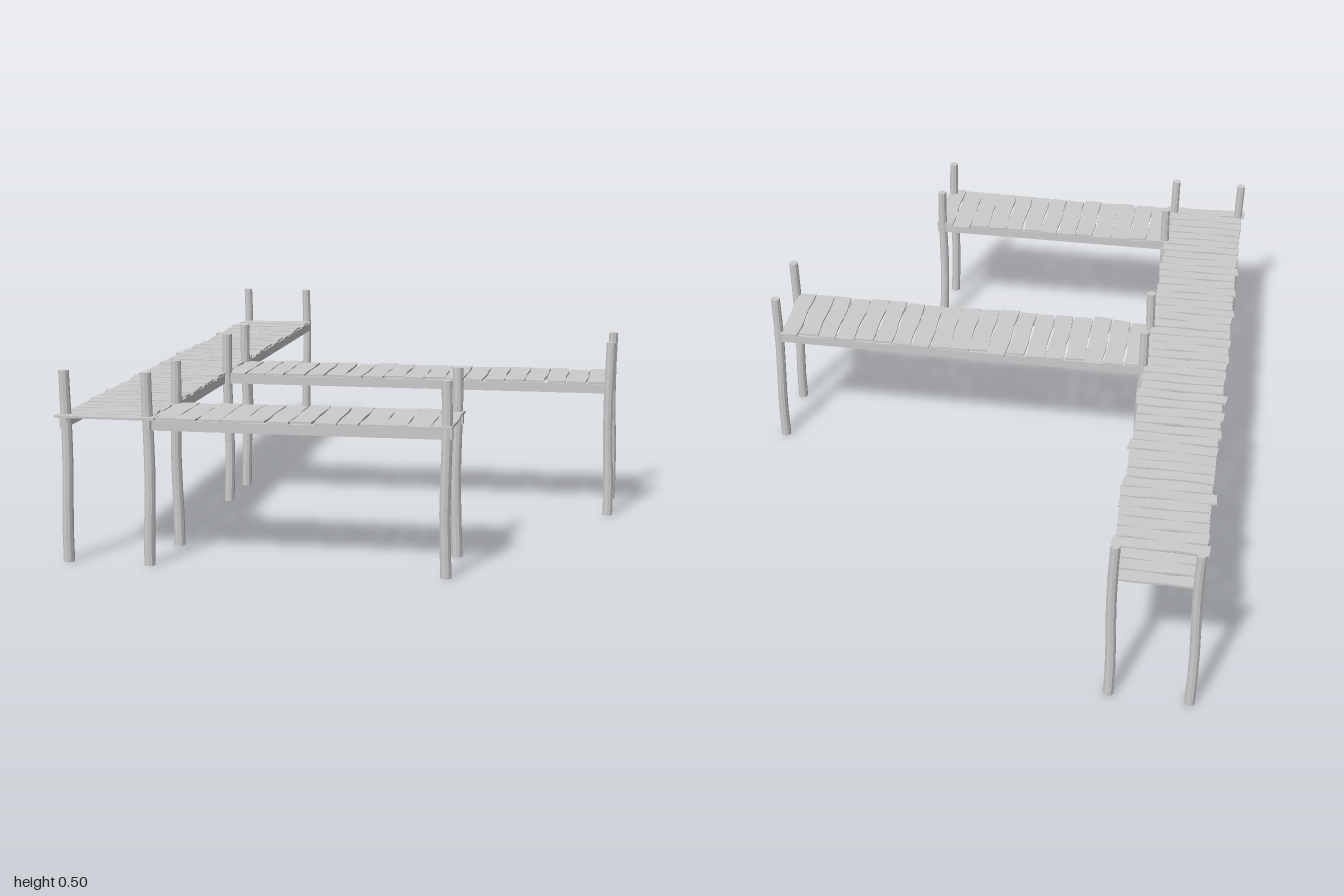
import * as THREE from 'three';

const DECK_Y = 0.384, BEAM_Y = 0.367;
const material = new THREE.MeshStandardMaterial({ color: 0xcccccc, flatShading: true });

// small seeded generator for the weathered irregularity
function seeded(seed) {
  return () => {
    seed = (seed * 16807) % 2147483647;
    return seed / 2147483647;
  };
}

function addMesh(parent, name, geometry, x, y, z) {
  const mesh = new THREE.Mesh(geometry, material);
  mesh.name = name;
  mesh.position.set(x, y, z);
  parent.add(mesh);
  return mesh;
}

// slightly crooked round post
function postGeometry(phase) {
  const geo = new THREE.CylinderGeometry(0.0135, 0.0145, 0.5, 10, 6);
  const p = geo.attributes.position;
  for (let i = 0; i < p.count; i++) {
    const t = p.getY(i) * 13;
    p.setX(i, p.getX(i) + 0.0025 * Math.sin(t + phase));
    p.setZ(i, p.getZ(i) + 0.0025 * Math.cos(t * 0.8 + phase));
  }
  geo.computeVertexNormals();
  return geo;
}

// thin board along x with wavering long edges and a slight warp
function plankGeometry(length, width, rand) {
  const geo = new THREE.BoxGeometry(length, 0.006, width, 6, 1, 1);
  const p = geo.attributes.position;
  const a = rand() * 6.28, b = rand() * 6.28;
  for (let i = 0; i < p.count; i++) {
    const x = p.getX(i), z = p.getZ(i), side = Math.sign(z);
    p.setZ(i, z + 0.002 * Math.sin(x * 38 + (side > 0 ? a : b)));
    p.setY(i, p.getY(i) + 0.0007 * Math.sin(x * 25 + a));
    p.setX(i, x + side * 0.002 * Math.sin(b));
  }
  geo.computeVertexNormals();
  return geo;
}

// one walkway running along +x: two side beams and a row of crosswise planks
function walkway(name, { length, beamLength, beamGap, count, plankLength, fill, seed }) {
  const group = new THREE.Group();
  group.name = name;
  const rand = seeded(seed);
  for (const side of [-1, 1]) {
    addMesh(group, 'sideBeam', new THREE.BoxGeometry(beamLength, 0.026, 0.018),
      beamLength / 2, BEAM_Y, side * beamGap / 2);
  }
  const pitch = length / count;
  for (let i = 0; i < count; i++) {
    const longBoard = rand() > 0.85 ? 0.016 : 0;
    const geo = plankGeometry(plankLength + (rand() - 0.5) * 0.016 + longBoard,
      pitch * (fill + (rand() - 0.5) * 0.12), rand);
    const plank = addMesh(group, 'plank', geo,
      (i + 0.5) * pitch, DECK_Y + (rand() - 0.5) * 0.002, (rand() - 0.5) * 0.01);
    plank.rotation.set(0, Math.PI / 2 + (rand() - 0.5) * 0.035, (rand() - 0.5) * 0.008);
  }
  return group;
}

export function createModel() {
  const model = new THREE.Group();
  model.name = 'pier';

  // long walkway running front to back
  const main = walkway('mainWalkway', {
    length: 1.97, beamLength: 1.955, beamGap: 0.22, count: 46, plankLength: 0.24, fill: 0.88, seed: 1234
  });
  main.rotation.y = -Math.PI / 2;
  main.position.set(-0.56, 0, -0.982);
  model.add(main);

  // two side walkways branching off toward +x
  const longArm = walkway('longArm', {
    length: 1.11, beamLength: 1.115, beamGap: 0.216, count: 19, plankLength: 0.235, fill: 0.93, seed: 777
  });
  longArm.position.set(-0.435, 0, 0.107);
  const shortArm = walkway('shortArm', {
    length: 0.77, beamLength: 0.765, beamGap: 0.212, count: 13, plankLength: 0.235, fill: 0.94, seed: 4321
  });
  shortArm.position.set(-0.435, 0, 0.86);
  model.add(longArm, shortArm);

  // posts at the ends and junctions
  const posts = [
    [-0.67, -0.985], [-0.455, -0.985], [-0.667, 0.96], [-0.45, 0.96],
    [-0.434, 0], [-0.434, 0.217], [0.682, 0], [0.682, 0.217],
    [-0.436, 0.752], [0.313, 0.752], [0.313, 0.963]
  ];
  posts.forEach(([x, z], i) => addMesh(model, 'post', postGeometry(i * 0.6), x, 0.25, z));

  return model;
}
